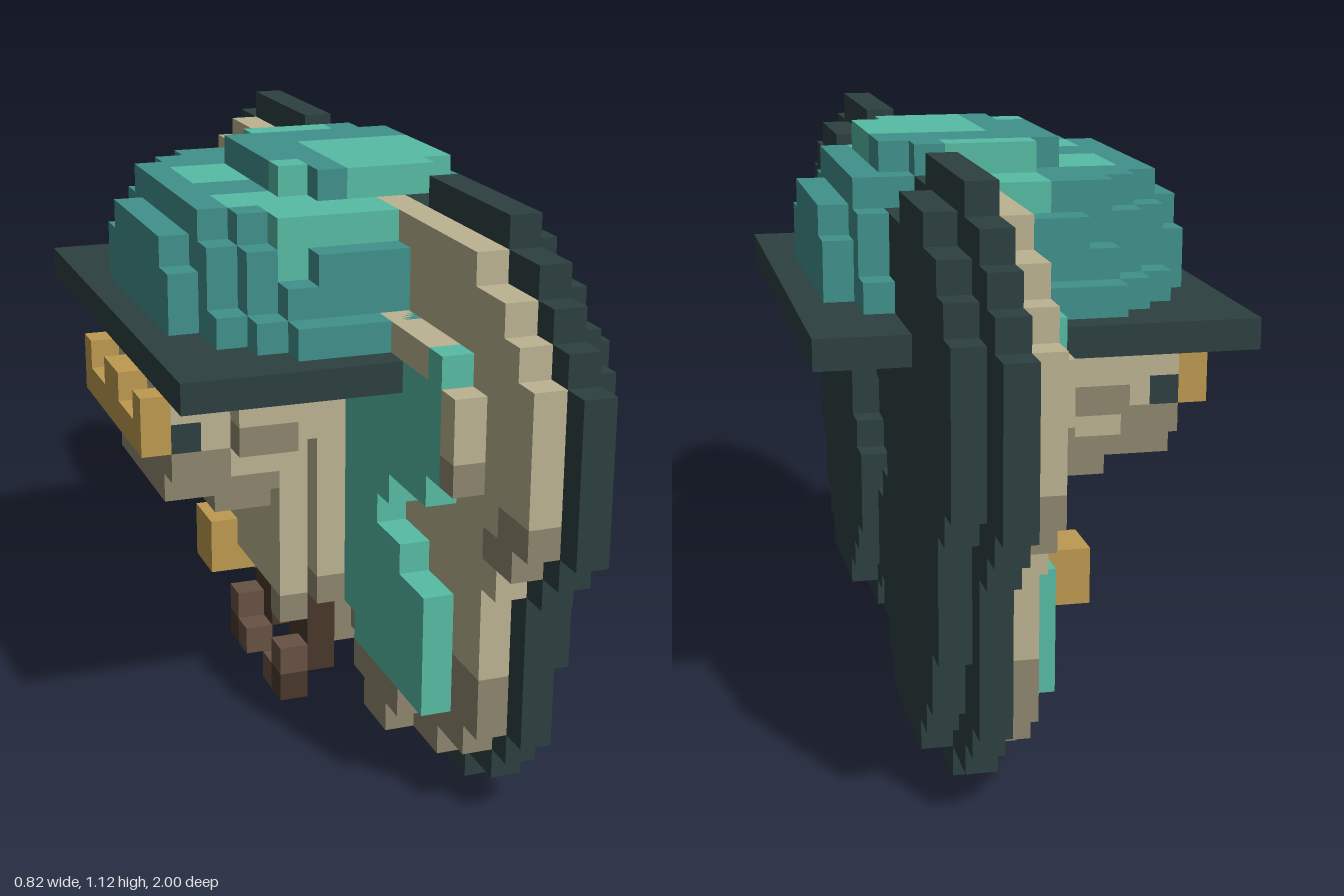
import * as THREE from 'three';
import { mergeGeometries } from 'three/addons/utils/BufferGeometryUtils.js';

const U = 2 / 34; // edge of one cube

const mat = (name, color) => {
  const m = new THREE.MeshStandardMaterial({ color });
  m.name = name;
  return m;
};

export function createModel() {
  const root = new THREE.Group();
  root.name = 'mothWithHat';
  const dark = mat('darkSlate', 0x2d4040);
  const teal = mat('teal', 0x41918c);
  const mint = mat('mint', 0x57bca4);
  const beige = mat('beige', 0xbcb391);
  const taupe = mat('taupe', 0x8e866f);
  const gold = mat('gold', 0xbe9a51);
  const brown = mat('darkBrown', 0x4a382c);
  const tan = mat('lightBrown', 0x685243);

  // Boxes are [x0, x1, y0, y1, z0, z1] in cubes
  const mirror = (boxes) => boxes.flatMap(b => [b, [b[0], b[1], b[2], b[3], -b[5], -b[4]]]);
  function part(name, material, boxes) {
    const geos = boxes.map(([x0, x1, y0, y1, z0, z1]) =>
      new THREE.BoxGeometry((x1 - x0) * U, (y1 - y0) * U, (z1 - z0) * U)
        .translate((x0 + x1) / 2 * U, (y0 + y1) / 2 * U, (z0 + z1) / 2 * U));
    const mesh = new THREE.Mesh(mergeGeometries(geos), material);
    mesh.name = name;
    root.add(mesh);
  }

  // Wing layers: inner and outer z for each row, from the first row upwards
  const slab = (x, first, inner, outer) =>
    inner.map((z, i) => [x, x + 1, first + i, first + i + 1, z, outer[i]]);
  part('wingBacks', dark, mirror([
    ...slab(2, 0,
      [5, 4, 3, 2, 1, 1, 1, 2, 2, 2, 1, 1, 1, 4, 4, 4, 4, 4, 6],
      [10, 12, 13, 14, 14, 14, 14, 14, 15, 16, 17, 17, 17, 17, 17, 16, 15, 14, 12]),
    ...slab(3, 1,
      [5, 4, 3, 2, 2, 2, 3, 4, 4, 3, 2, 2, 4, 4, 4, 4, 7],
      [10, 11, 12, 12, 13, 13, 13, 13, 14, 15, 15, 15, 15, 15, 14, 13, 11])]));

  const faceRows = slab(1, 1,
    [4, 2, 1, 1, 1, 1, 1, 1, 1, 1, 1, 1, 4, 4, 4, 4, 4],
    [10, 12, 13, 13, 13, 13, 13, 14, 15, 16, 16, 16, 16, 16, 15, 14, 12]);
  const faces = [], rims = [];
  for (const b of faceRows) {
    const y = b[2];
    if (y < 3) rims.push(b);
    else if (y < 5 || y === 9 || y === 10) {
      const cut = b[5] - 2;
      faces.push([1, 2, y, y + 1, b[4], cut]);
      rims.push([1, 2, y, y + 1, cut, b[5]]);
    } else faces.push(b);
  }
  part('wingFaces', beige, mirror(faces));
  part('wingFaceRims', taupe, mirror(rims));

  // Raised wing markings
  part('wingMarkings', mint, mirror([
    [0, 1, 11, 13, 2, 12], [0, 1, 13, 14, 4, 12], [0, 1, 14, 15, 11, 12],
    [0, 1, 10, 11, 2, 11], [0, 1, 9, 10, 2, 8],
    [0, 1, 8, 9, 3, 7], [0, 1, 7, 8, 3, 9], [0, 1, 4, 7, 3, 11], [0, 1, 3, 4, 5, 11]]));
  part('markingBorders', beige, mirror([[0, 1, 12, 14, 12, 13], [0, 1, 14, 15, 7, 11]]));
  part('markingShadows', taupe, mirror([[0, 1, 11, 12, 12, 13], [0, 1, 2, 3, 5, 9], [0, 1, 1, 2, 6, 8]]));

  // Body and arms
  part('body', beige, [[-2, 2, 4, 13, -1, 1], [-2, 2, 7, 10, -2, 2], [-2, 1, 4, 13, -2, 2]]);
  part('bodyBase', taupe, [[-1, 2, 3, 4, -2, 2], [0, 2, 2, 3, -2, 2], [0, 2, 1, 2, -1, 1]]);
  part('arms', beige, mirror([[-2, 0, 5, 8, 2, 3], [-1, 0, 5, 10, 3, 4], [-2, -1, 4, 5, 2, 3]]));
  part('hands', taupe, [[-2, -1, 3, 4, 2, 3], [-1, 0, 4, 5, 2, 4]]);
  part('lantern', gold, [[-3, 0, 3, 4, -4, -2], [-3, -1, 4, 5, -4, -2], [-2, 0, 4, 5, -4, -3]]);

  // Legs and feet
  part('legs', brown, mirror([[-1, 0, 1, 4, 1, 3], [-2, -1, 0, 1, 2, 3]]));
  part('feet', tan, mirror([[-2, -1, 1, 2, 2, 3], [-2, -1, 0, 1, 1, 2]]));

  // Head
  part('head', beige, [[-5, 0, 10, 13, -4, 4], [-6, -5, 10, 13, -3, 3], [-6, -5, 11, 13, -4, 4],
    [-2, 0, 8, 10, -3, 3], ...mirror([[-4, -2, 11, 12, 4, 5], [-4, -2, 9, 10, 3, 4]])]);
  part('jaw', taupe, [[-6, -2, 9, 10, -3, 3], [-6, -2, 8, 9, -3, 3], [-4, -2, 7, 8, -2, 2],
    ...mirror([[-4, -2, 10, 11, 4, 5], [-6, -4, 9, 10, 3, 4]])]);
  part('eyes', dark, mirror([[-6, -5, 10, 11, 3, 4]]));
  part('moustache', gold, [[-7, -6, 10, 11, -4, 4], [-7, -6, 11, 12, -1, 1],
    ...mirror([[-7, -6, 11, 12, 3, 4]])]);

  // Hat: flat brim and a stepped, patchy crown
  part('hatBrim', dark, [[-7, 7, 13, 14, -9, 9]]);
  const levels = [[14, 0, 6.2, 8.2], [15, 0, 6.2, 7], [16, 0, 6.2, 6.8], [17, 0, 5.3, 6.1], [18, 1, 3.3, 4.5]];
  const patches = [[-4, -2, -3, 0], [-1, 2, -6, -3], [0, 4, -1, 4], [-4, -1, 2, 4], [-3, 1, 4, 6]];
  const plain = [], patched = [];
  for (const [y, cx, a, b] of levels) {
    for (let x = -6; x < 6; x++) for (let z = -8; z < 8; z++) {
      const px = x + 0.5, pz = z + 0.5;
      if (Math.abs((px - cx) / a) ** 2.2 + Math.abs(pz / b) ** 2.2 > 1) continue;
      if (x >= 1 && x < 4 && Math.abs(pz) > 4 && y < 18) continue; // wings pass here
      const spot = y > 14 && patches.some(p => px > p[0] && px < p[1] && pz > p[2] && pz < p[3]);
      (spot ? patched : plain).push([x, x + 1, y, y + 1, z, z + 1]);
    }
  }
  part('hatCrown', teal, plain);
  part('hatPatches', mint, patched);
  return root;
}
